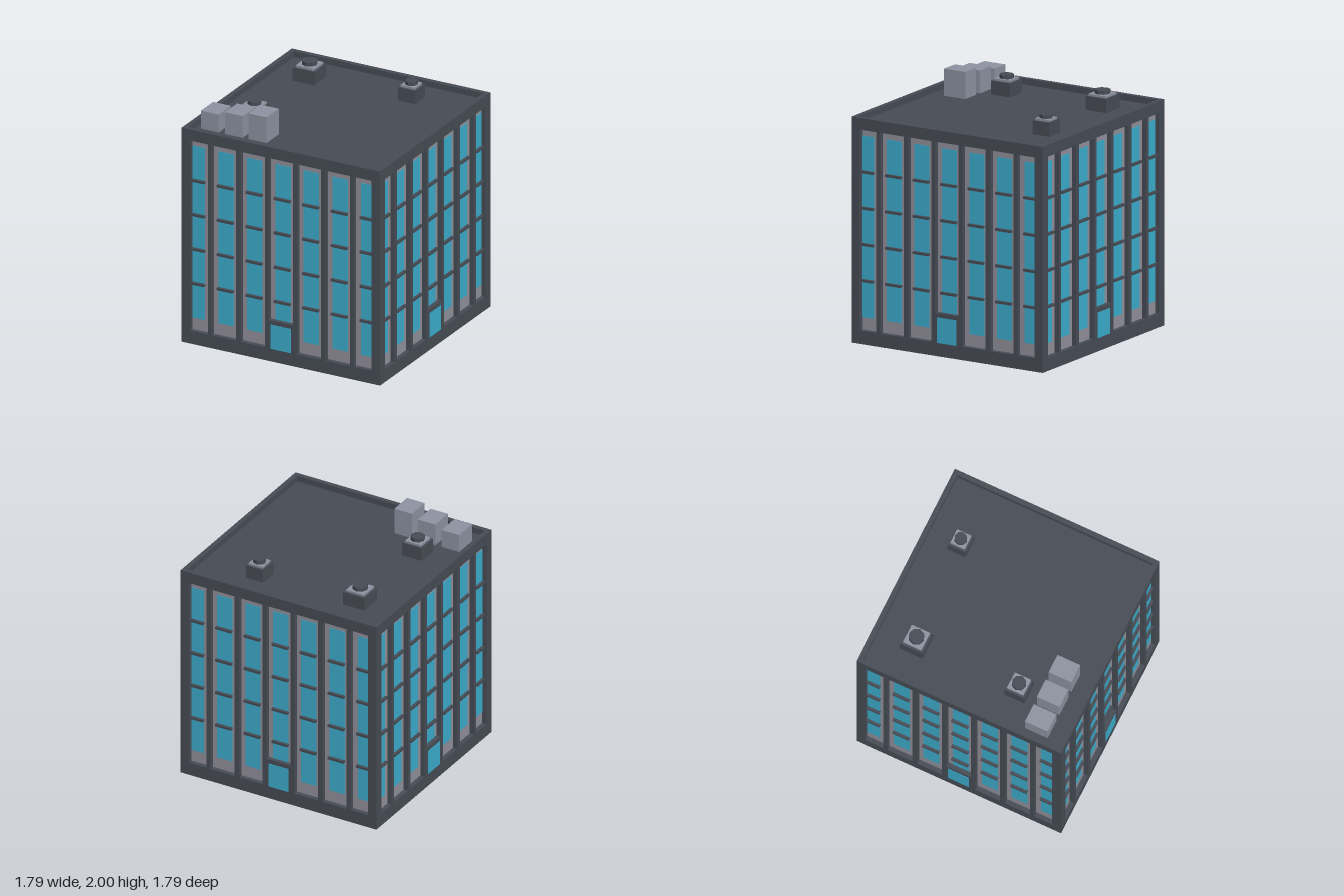
import * as THREE from 'three';

const HALF = 0.89, WALL = 0.04, INNER = HALF - WALL;
const TOP = 1.83, ROOF = 1.78;

const mats = {
  concrete: new THREE.MeshStandardMaterial({ color: 0x474c55, name: 'dark concrete' }),
  panel: new THREE.MeshStandardMaterial({ color: 0x92919c, name: 'grey panel' }),
  metal: new THREE.MeshStandardMaterial({ color: 0x8d93a1, name: 'grey metal' }),
  glass: new THREE.MeshStandardMaterial({ color: 0x3cadcd, name: 'blue glass' }),
};

// Window bays: opening [x0, x1] and glass [g0, g1], right half mirrored to the left
const side = [
  { o: [0.144, 0.36], g: [0.185, 0.323] },
  { o: [0.402, 0.62], g: [0.443, 0.58] },
  { o: [0.655, 0.812], g: [0.70, 0.812] },
];
const flip = ([a, b]) => [-b, -a];
const bays = [
  { o: [-0.108, 0.108], g: [-0.069, 0.069], bottom: 0.35 },
  ...side,
  ...side.map(({ o, g }) => ({ o: flip(o), g: flip(g) })),
];

// Box given by its min and max on each axis
function block(name, mat, [x0, x1], [y0, y1], [z0, z1]) {
  const mesh = new THREE.Mesh(new THREE.BoxGeometry(x1 - x0, y1 - y0, z1 - z0), mat);
  mesh.position.set((x0 + x1) / 2, (y0 + y1) / 2, (z0 + z1) / 2);
  mesh.name = name;
  return mesh;
}

function rectPath(path, x0, x1, y0, y1) {
  path.moveTo(x0, y0);
  path.lineTo(x1, y0);
  path.lineTo(x1, y1);
  path.lineTo(x0, y1);
  path.closePath();
  return path;
}

function makeFacade() {
  const g = new THREE.Group();
  // Wall frame with bay openings; one end is short so the four walls interlock
  const shape = rectPath(new THREE.Shape(), -INNER, HALF, 0, TOP);
  for (const b of bays) {
    shape.holes.push(rectPath(new THREE.Path(), b.o[0], b.o[1], b.bottom ?? 0.11, 1.735));
  }
  const frame = new THREE.Mesh(
    new THREE.ExtrudeGeometry(shape, { depth: WALL, bevelEnabled: false }), mats.concrete);
  frame.position.z = INNER;
  frame.name = 'wallFrame';
  g.add(frame);

  // Recessed backing, glass strips and floor bars
  g.add(block('backPanel', mats.panel, [-0.83, 0.83], [0.09, 1.75], [INNER - 0.004, INNER + 0.002]));
  for (const b of bays) {
    g.add(block('windowStrip', mats.glass, b.g, [b.bottom ?? 0.21, 1.68], [INNER, INNER + 0.005]));
    for (const y of [0.51, 0.803, 1.097, 1.39]) {
      g.add(block('floorBar', mats.concrete, [Math.max(b.g[0] - 0.003, -0.812), Math.min(b.g[1] + 0.003, 0.812)],
        [y - 0.01, y + 0.01], [INNER, INNER + 0.028]));
    }
  }
  g.add(block('door', mats.glass, [-0.09, 0.09], [0.108, 0.315], [HALF - 0.003, HALF + 0.003]));
  return g;
}

// Roof vent: base, collar and octagonal cap
function makeVent(x, z, base, collar, radius) {
  const g = new THREE.Group();
  g.name = 'roofVent';
  const span = (w) => [-w / 2, w / 2];
  g.add(block('ventBase', mats.concrete, span(base), [ROOF, 1.893], span(base)));
  g.add(block('ventCollar', mats.metal, span(collar), [1.893, 1.91], span(collar)));
  const cap = new THREE.Mesh(new THREE.CylinderGeometry(radius, radius, 0.03, 8), mats.concrete);
  cap.geometry = cap.geometry.toNonIndexed();
  cap.geometry.computeVertexNormals();
  cap.position.y = 1.925;
  cap.name = 'ventCap';
  g.add(cap);
  g.position.set(x, 0, z);
  return g;
}

export function createModel() {
  const model = new THREE.Group();
  model.name = 'officeBuilding';

  // Solid core gives the roof deck and the underside
  model.add(block('core', mats.concrete, [-INNER, INNER], [0, ROOF], [-INNER, INNER]));

  ['front', 'left', 'back', 'right'].forEach((name, i) => {
    const facade = makeFacade();
    facade.name = name + 'Facade';
    facade.rotation.y = i * Math.PI / 2;
    model.add(facade);
  });

  model.add(makeVent(-0.535, -0.537, 0.195, 0.16, 0.064));
  model.add(makeVent(0.354, -0.58, 0.157, 0.125, 0.052));
  model.add(makeVent(-0.535, 0.354, 0.177, 0.143, 0.058));

  // Rooftop units of rising height
  [[-0.805, 1.933], [-0.59, 1.965], [-0.376, 2.0]].forEach(([x, top]) => {
    model.add(block('rooftopUnit', mats.metal, [x, x + 0.16], [ROOF, top], [0.535, 0.732]));
  });
  return model;
}
